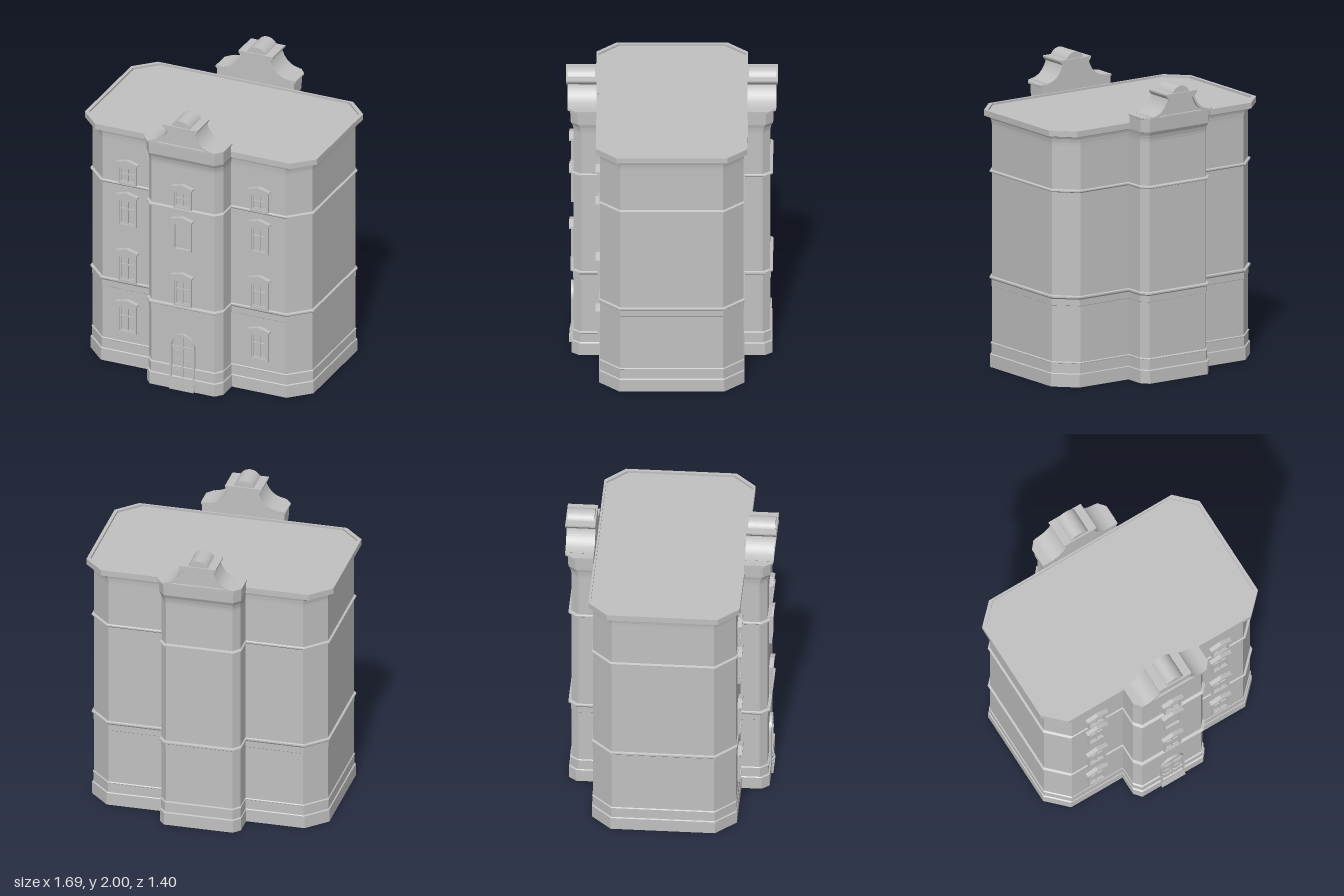
import * as THREE from 'three';

const stone = new THREE.MeshStandardMaterial({ color: 0xc0c0c0 });
stone.name = 'grey stone';

function part(name, geometry, parent, x = 0, y = 0, z = 0) {
  const mesh = new THREE.Mesh(geometry, stone);
  mesh.name = name;
  mesh.position.set(x, y, z);
  parent.add(mesh);
  return mesh;
}

const box = (name, w, h, d, parent, x, y, z) => part(name, new THREE.BoxGeometry(w, h, d), parent, x, y, z);

function extrude(shape, depth) {
  return new THREE.ExtrudeGeometry(shape, { depth, bevelEnabled: false, curveSegments: 16 });
}

const polygon = (points) => new THREE.Shape(points.map(([x, y]) => new THREE.Vector2(x, y)));

// Stacks outlines (counter-clockwise from above) into a closed, flat-shaded solid
function loft(profile, outline) {
  const rings = profile.map(([offset, y]) => outline(offset).map(([x, z]) => [x, y, z]));
  const n = rings[0].length;
  const position = [];
  const tri = (...corners) => corners.forEach((c) => position.push(...c));
  for (let r = 0; r < rings.length - 1; r++) {
    const low = rings[r], high = rings[r + 1];
    for (let i = 0; i < n; i++) {
      const j = (i + 1) % n;
      tri(low[i], low[j], high[j]);
      tri(low[i], high[j], high[i]);
    }
  }
  const bottom = rings[0], top = rings[rings.length - 1];
  for (let i = 1; i < n - 1; i++) {
    tri(bottom[0], bottom[i + 1], bottom[i]);
    tri(top[0], top[i], top[i + 1]);
  }
  const geometry = new THREE.BufferGeometry();
  geometry.setAttribute('position', new THREE.Float32BufferAttribute(position, 3));
  geometry.computeVertexNormals();
  return geometry;
}

// Chamfered rectangle of the main block
function mainOutline(o) {
  const x = 0.8 + o, z = 0.475 + o * 0.6, c = 0.135;
  return [[x, z - c], [x, c - z], [x - c, -z], [c - x, -z], [-x, c - z], [-x, z - c], [c - x, z], [x - c, z]];
}

// Chamfered projecting bay, starting at depth back
const bayOutline = (back) => (o) => {
  const x = 0.27 + o, z = 0.65 + o * 2, cx = 0.042, cz = 0.05;
  return [[x, z - cz], [x, back], [-x, back], [-x, z - cz], [cx - x, z], [x - cx, z]];
};

// Plinth and string courses shared by all walls: [offset, height]
const wallProfile = (m) => [
  [m * 0.8, 0], [m * 0.8, 0.087], [m * 0.25, 0.092], [m * 0.25, 0.158], [m * 0.5, 0.16], [m * 0.5, 0.165], [0, 0.17],
  [0, 0.55], [m * 0.2, 0.552], [m * 0.2, 0.595], [m, 0.605], [m, 0.615], [0, 0.62],
  [0, 1.32], [m, 1.328], [m, 1.336], [0, 1.342], [0, 1.64],
];

// Window with frame, sash bars and a small pediment; origin at bottom centre on the wall
function windowUnit(height, barAt, blind) {
  const group = new THREE.Group();
  group.name = 'window';
  const ring = (w, y0, y1, t) => {
    const shape = polygon([[-w, y0], [w, y0], [w, y1], [-w, y1]]);
    shape.holes.push(polygon([[-w + t, y0 + t], [w - t, y0 + t], [w - t, y1 - t], [-w + t, y1 - t]]));
    return shape;
  };
  part('windowFrame', extrude(ring(0.066, 0, height, 0.012), 0.018), group);
  if (!blind) {
    part('sash', extrude(ring(0.054, 0.012, height - 0.012, 0.008), 0.009), group);
    box('mullion', 0.009, height - 0.03, 0.009, group, 0, height / 2, 0.0045);
    box('transom', 0.1, 0.009, 0.009, group, 0, height * barAt, 0.0045);
  }
  part('pediment', extrude(polygon([[-0.066, 0], [0.066, 0], [0.066, 0.024], [0, 0.042], [-0.066, 0.024]]), 0.018),
    group, 0, height);
  part('pedimentCap', extrude(polygon([[-0.08, 0.02], [-0.066, 0.016], [0, 0.036], [0.066, 0.016],
    [0.08, 0.02], [0.08, 0.03], [0, 0.052], [-0.08, 0.03]]), 0.03), group, 0, height);
  return group;
}

// Projecting bay with its curved gable
function bay(name) {
  const group = new THREE.Group();
  group.name = name;
  part('bayWall', loft([...wallProfile(0.01), [0.001, 1.66], [0.004, 1.685], [0.01, 1.71]], bayOutline(0.44)), group);
  part('gableShoulder', loft([[0.01, 1.71], [0.012, 1.795], [0.02, 1.8], [0.02, 1.812]], bayOutline(0.5)), group);

  const sweep = new THREE.QuadraticBezierCurve(
    new THREE.Vector2(0.235, 1.812), new THREE.Vector2(0.145, 1.82), new THREE.Vector2(0.11, 1.915)).getPoints(12);
  const right = [...sweep.map((p) => [p.x, p.y]), [0.105, 1.94]];
  const left = right.map(([x, y]) => [-x, y]).reverse();
  part('gable', extrude(polygon([...right, ...left]), 0.175), group, 0, 0, 0.5);

  // Raised rim along each curved edge
  for (const s of [1, -1]) {
    const outer = right.map(([x, y]) => [s * x, y + 0.002]);
    const inner = right.map(([x, y]) => [s * (x - 0.01), y - 0.01]).reverse();
    part('gableRim', extrude(polygon([...outer, ...inner]), 0.19), group, 0, 0, 0.502);
  }
  part('gableCap', extrude(polygon([[-0.105, 1.92], [0.105, 1.92], [0.125, 1.945], [0.125, 1.956],
    [-0.125, 1.956], [-0.125, 1.945]]), 0.2), group, 0, 0, 0.5);
  const crown = new THREE.Shape();
  crown.absarc(0, 1.926, 0.074, 0, Math.PI, false);
  part('gableCrown', extrude(crown, 0.18), group, 0, 0, 0.51);
  return group;
}

// Arched opening outline
function arch(w, y0, spring, rise) {
  const shape = new THREE.Shape();
  shape.moveTo(-w, y0);
  shape.lineTo(w, y0);
  shape.lineTo(w, spring);
  shape.absellipse(0, spring, w, rise, 0, Math.PI, false);
  shape.closePath();
  return shape;
}

function entrance() {
  const group = new THREE.Group();
  group.name = 'entrance';
  const surround = arch(0.09, 0.065, 0.315, 0.095);
  surround.holes.push(arch(0.077, 0.066, 0.315, 0.082));
  part('doorSurround', extrude(surround, 0.02), group, 0, 0, 0.648);
  part('doorLeaf', extrude(arch(0.077, 0.065, 0.315, 0.082), 0.005), group, 0, 0, 0.648);
  box('doorTransom', 0.154, 0.012, 0.01, group, 0, 0.31, 0.656);
  box('doorMeetingRail', 0.01, 0.32, 0.01, group, 0, 0.225, 0.655);
  for (const s of [-1, 1]) {
    for (const y of [0.12, 0.195, 0.265]) box('doorPanel', 0.045, 0.05, 0.008, group, s * 0.038, y, 0.655);
  }
  // Steps rising towards the door
  for (let i = 0; i < 4; i++) {
    const depth = 0.035 - i * 0.004;
    box('step', 0.18, 0.0165, depth, group, 0, 0.00825 + i * 0.0165, 0.645 + depth / 2);
  }
  return group;
}

export function createModel() {
  const model = new THREE.Group();
  model.name = 'townHouse';

  // Main block: walls with coved eaves, then roof slab with a low rim
  part('mainWall', loft([...wallProfile(0.014), [0.001, 1.66], [0.005, 1.685], [0.012, 1.7], [0.02, 1.71]], mainOutline), model);
  part('roofSlab', loft([[0.045, 1.71], [0.045, 1.75], [0.022, 1.75], [0.022, 1.735]], mainOutline), model);

  model.add(bay('frontBay'));
  const back = bay('backBay');
  back.rotation.y = Math.PI;
  model.add(back);
  model.add(entrance());

  // Front windows: [sill height, frame height, transom position]
  const rows = [[0.24, 0.195, 0.62], [0.62, 0.195, 0.62], [1.03, 0.2, 0.62], [1.34, 0.13, 0.55]];
  rows.forEach(([y, height, barAt], row) => {
    for (const x of [-0.48, 0, 0.48]) {
      if (row === 0 && x === 0) continue;
      const unit = windowUnit(height, barAt, row === 2 && x === 0);
      unit.position.set(x, y, x === 0 ? 0.65 : 0.475);
      model.add(unit);
    }
  });
  return model;
}
